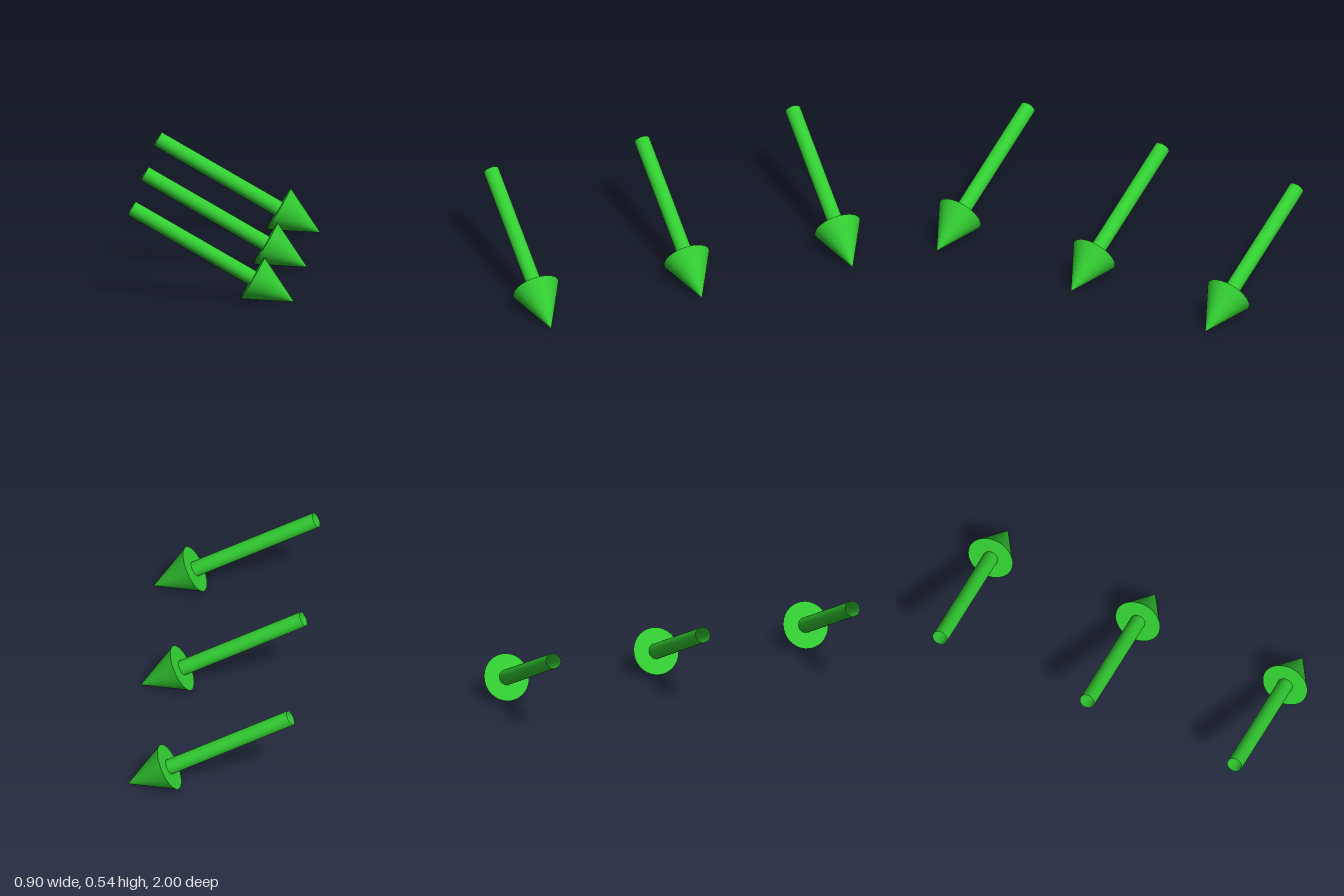
import * as THREE from 'three';

const SHAFT_RADIUS = 0.042;
const HEAD_RADIUS = 0.129;
const HEAD_LENGTH = 0.258;
const SPACING = 0.871;

const tail = new THREE.Vector3(-0.428, 0.501, 0);
const tip = new THREE.Vector3(0.449, 0, 0);

export function createModel() {
  const group = new THREE.Group();
  const green = new THREE.MeshStandardMaterial({ color: 0x32cd32, side: THREE.DoubleSide });

  const axis = tip.clone().sub(tail);
  const length = axis.length();
  const shaftLength = length - HEAD_LENGTH;

  // Open tube for the shaft, closed cone for the head; both start at the tail and run along +y
  const shaftGeometry = new THREE.CylinderGeometry(SHAFT_RADIUS, SHAFT_RADIUS, shaftLength, 32, 1, true)
    .translate(0, shaftLength / 2, 0);
  const headGeometry = new THREE.ConeGeometry(HEAD_RADIUS, HEAD_LENGTH, 32)
    .translate(0, length - HEAD_LENGTH / 2, 0);

  // Three parallel arrows, all sloping down towards +x
  ['backArrow', 'middleArrow', 'frontArrow'].forEach((name, i) => {
    const arrow = new THREE.Group();
    arrow.name = name;
    const shaft = new THREE.Mesh(shaftGeometry, green);
    shaft.name = 'shaft';
    const head = new THREE.Mesh(headGeometry, green);
    head.name = 'arrowHead';
    arrow.add(shaft, head);
    arrow.position.set(tail.x, tail.y, (i - 1) * SPACING);
    arrow.quaternion.setFromUnitVectors(new THREE.Vector3(0, 1, 0), axis.clone().normalize());
    group.add(arrow);
  });

  return group;
}
